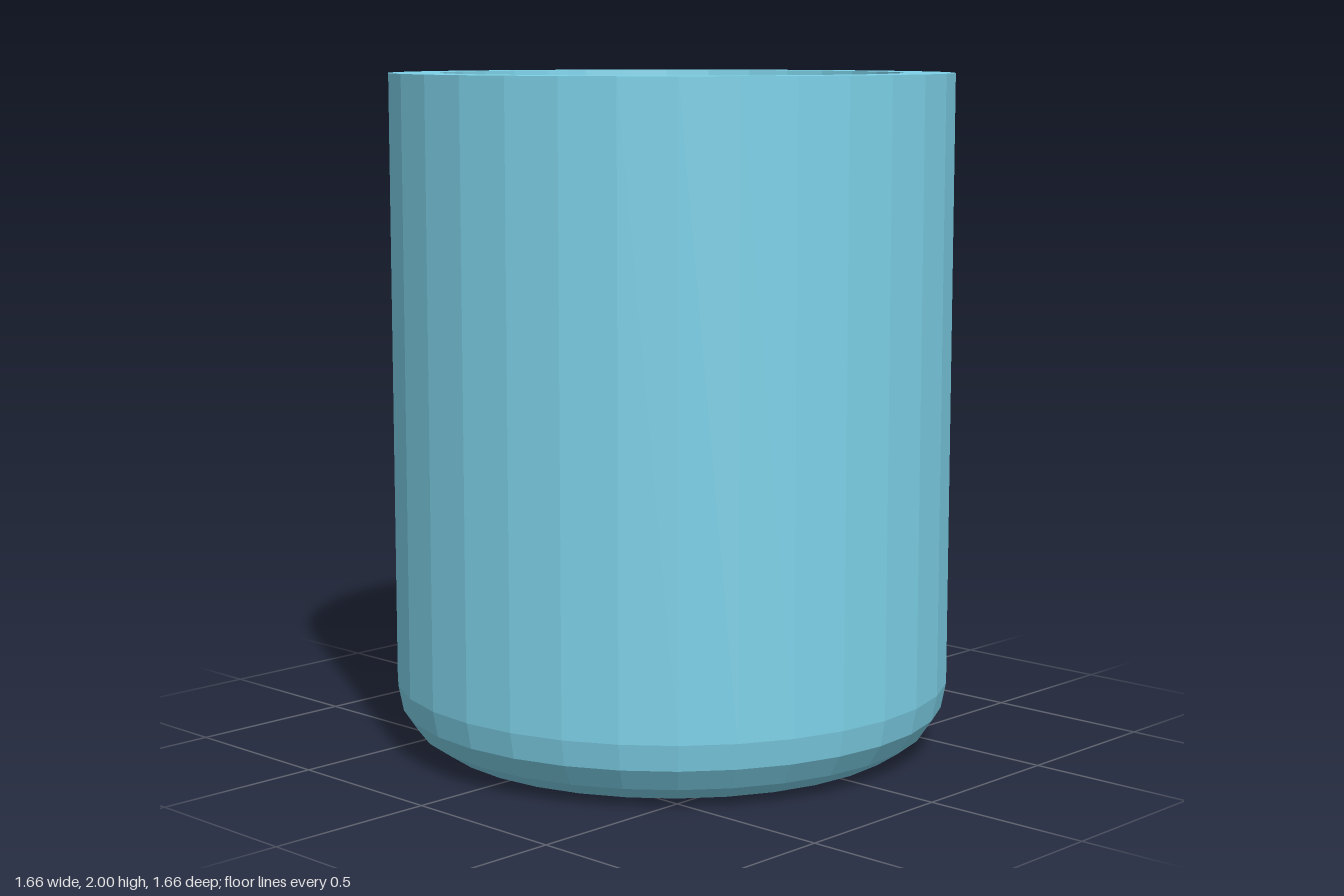
import * as THREE from 'three';

const SIDES = 32;
const RADIUS = 0.83, HEIGHT = 2, BEVEL = 0.2;
const RIM_RADIUS = 0.68, FILL_RADIUS = 0.665, FILL_Y = 1.825;
const FLOOR_Y = 0.2, FLOOR_RADIUS = 0.54;

export function createModel() {
  const model = new THREE.Group();
  model.name = 'cup';

  // Cup wall: flat base, rounded lower edge, straight side, flat rim, tapered inside
  const profile = [new THREE.Vector2(0, 0)];
  for (let i = 0; i <= 4; i++) {
    const a = (i / 4) * Math.PI / 2;
    profile.push(new THREE.Vector2(
      RADIUS - BEVEL + BEVEL * Math.sin(a),
      BEVEL - BEVEL * Math.cos(a)));
  }
  profile.push(
    new THREE.Vector2(RADIUS, HEIGHT),
    new THREE.Vector2(RIM_RADIUS, HEIGHT),
    new THREE.Vector2(FILL_RADIUS, FILL_Y),
    new THREE.Vector2(FLOOR_RADIUS, FLOOR_Y),
    new THREE.Vector2(0, FLOOR_Y));
  const body = new THREE.Mesh(
    new THREE.LatheGeometry(profile, SIDES),
    new THREE.MeshStandardMaterial({ color: 0x7ed2e9, flatShading: true }));
  body.name = 'cupBody';
  model.add(body);

  // Level surface of the contents, just below the rim
  const fill = new THREE.Mesh(
    new THREE.CircleGeometry(FILL_RADIUS, SIDES).rotateX(-Math.PI / 2),
    new THREE.MeshStandardMaterial({ color: 0xcccccc, flatShading: true }));
  fill.name = 'liquidSurface';
  fill.position.y = FILL_Y;
  model.add(fill);

  return model;
}
